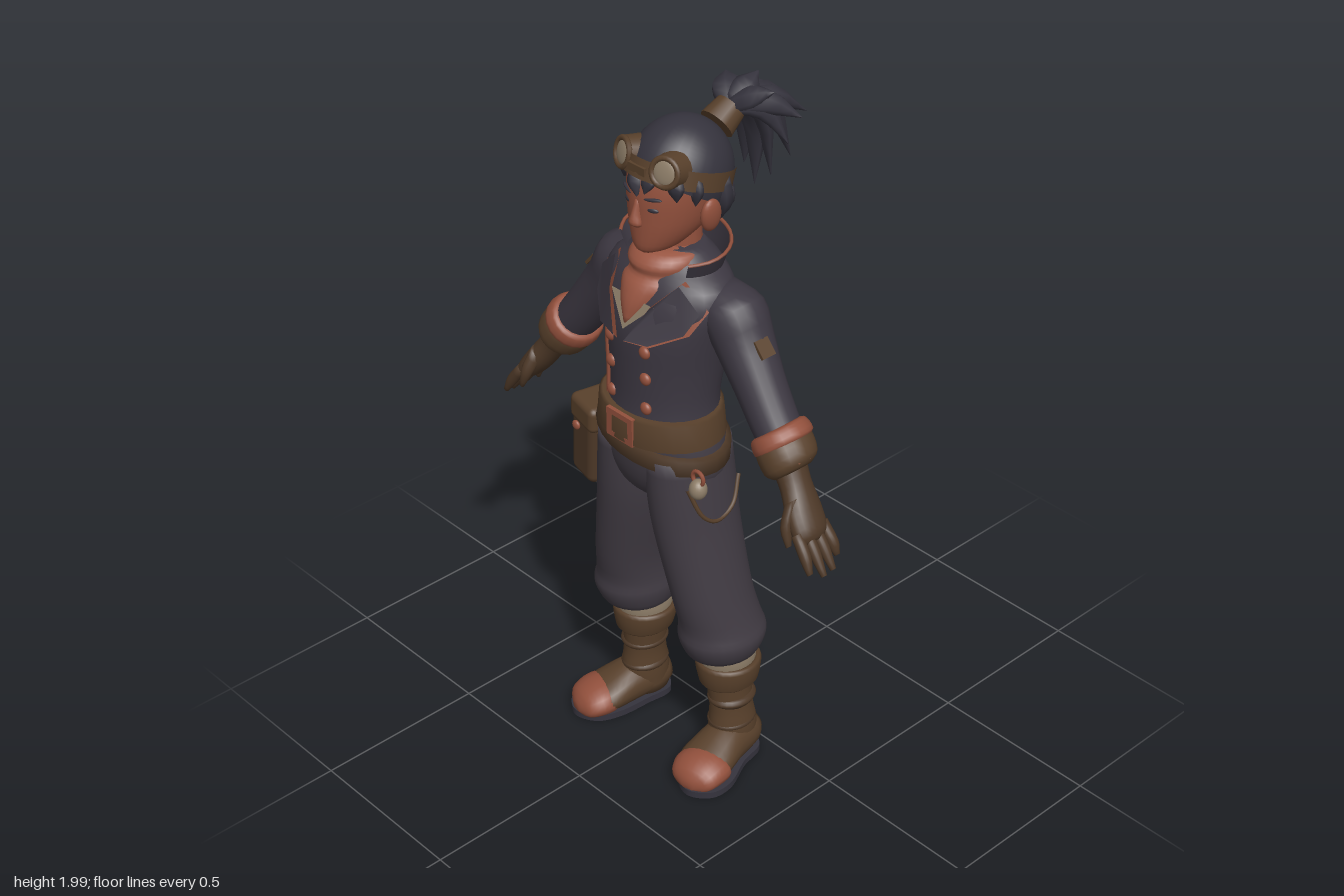
import * as THREE from 'three';
import { RoundedBoxGeometry } from 'three/addons/geometries/RoundedBoxGeometry.js';

const mat = (name, color, side = THREE.FrontSide) => {
  const m = new THREE.MeshStandardMaterial({ color, side });
  m.name = name;
  return m;
};
const V = (x, y, z) => new THREE.Vector3(x, y, z);

// Smooth closed body through elliptical rings; rows are [x, y, z, radiusU, radiusV]
function loft(rows, { u, v, n = 20, steps = 3, minY = -9 } = {}) {
  const centre = new THREE.CatmullRomCurve3(rows.map(r => V(r[0], r[1], r[2])), false, 'catmullrom');
  const radii = new THREE.CatmullRomCurve3(rows.map(r => V(r[3], r[4], 0)), false, 'catmullrom');
  const d = centre.points.at(-1).clone().sub(centre.points[0]).normalize();
  u = u ? u.clone().normalize() : V(0, 0, 0).crossVectors(d, Math.abs(d.y) > 0.9 ? V(0, 0, 1) : V(0, 1, 0)).normalize();
  v = v ? v.clone().normalize() : V(0, 0, 0).crossVectors(d, u);
  if (V(0, 0, 0).crossVectors(u, v).dot(d) < 0) v.negate();
  const m = (rows.length - 1) * steps, pos = [], idx = [];
  const put = p => pos.push(p.x, Math.max(p.y, minY), p.z);
  for (let i = 0; i <= m; i++) {
    const c = centre.getPoint(i / m), r = radii.getPoint(i / m);
    for (let j = 0; j < n; j++) {
      const a = j / n * Math.PI * 2;
      put(c.clone().addScaledVector(u, Math.cos(a) * r.x).addScaledVector(v, Math.sin(a) * r.y));
    }
  }
  for (let i = 0; i < m; i++) for (let j = 0; j < n; j++) {
    const a = i * n + j, b = i * n + (j + 1) % n;
    idx.push(a, b, a + n, b, b + n, a + n);
  }
  put(centre.getPoint(0)); put(centre.getPoint(1));
  const end = (m + 1) * n;
  for (let j = 0; j < n; j++) {
    const k = (j + 1) % n;
    idx.push(end, k, j, end + 1, m * n + j, m * n + k);
  }
  return surface(pos, idx);
}
function surface(pos, idx) {
  const g = new THREE.BufferGeometry();
  g.setAttribute('position', new THREE.Float32BufferAttribute(pos, 3));
  g.setIndex(idx);
  g.computeVertexNormals();
  return g;
}
// Open sheet from a function of (s, t)
function sheet(fn, a, b) {
  const pos = [], idx = [];
  for (let i = 0; i <= a; i++) for (let j = 0; j <= b; j++) pos.push(...fn(i / a, j / b).toArray());
  for (let i = 0; i < a; i++) for (let j = 0; j < b; j++) {
    const k = i * (b + 1) + j;
    idx.push(k, k + 1, k + b + 1, k + 1, k + b + 2, k + b + 1);
  }
  return surface(pos, idx);
}
// Upright loft, rows [y, x, z, rx, rz]
const upright = (rows, s = 1, o = {}) =>
  loft(rows.map(([y, x, z, a, b]) => [x * s, y, z, a, b]), { u: V(1, 0, 0), v: V(0, 0, 1), n: 28, ...o });
const tube = (pts, r) => new THREE.TubeGeometry(new THREE.CatmullRomCurve3(pts), 24, r, 6);

const TORSO = [[1.12, 0, .19, .17, .14], [1.2, 0, .185, .162, .135], [1.3, 0, .175, .172, .145], [1.4, 0, .17, .19, .15],
  [1.48, 0, .16, .205, .14], [1.54, 0, .15, .19, .12], [1.58, 0, .14, .13, .1], [1.62, 0, .14, .08, .07]];
// Depth of the jacket front at (x, y)
function frontZ(x, y) {
  const i = Math.max(0, Math.min(TORSO.length - 2, TORSO.findIndex(r => r[0] > y) - 1));
  const a = TORSO[i], b = TORSO[i + 1], t = (y - a[0]) / (b[0] - a[0]);
  const f = k => a[k] + (b[k] - a[k]) * t;
  return f(2) + f(4) * Math.sqrt(Math.max(0.04, 1 - (x / f(3)) ** 2));
}

export function createModel() {
  const jacket = mat('jacket cloth', 0x3c3741), trousers = mat('trouser cloth', 0x413b43), hair = mat('dark hair', 0x35333d);
  const skin = mat('skin', 0x93513d), scarf = mat('scarf cloth', 0x985541, THREE.DoubleSide), trim = mat('copper trim', 0x92503c);
  const leather = mat('leather', 0x58402b), glove = mat('dark leather', 0x4d3827), cream = mat('cream wool', 0x8d7d68);
  const collarCloth = mat('collar cloth', 0x3c3741, THREE.DoubleSide);
  const model = new THREE.Group(), body = new THREE.Group();
  body.name = 'body';
  body.position.x = 0.028;
  model.add(body);
  const add = (name, geo, m, p = [0, 0, 0], r = [0, 0, 0], sc = [1, 1, 1]) => {
    const mesh = new THREE.Mesh(geo, m);
    mesh.name = name;
    mesh.position.set(...p); mesh.rotation.set(...r); mesh.scale.set(...sc);
    body.add(mesh);
    return mesh;
  };
  const ball = new THREE.SphereGeometry(1, 20, 14);

  // Torso, hips and belts
  add('jacket', upright(TORSO), jacket);
  add('hips', upright([[.88, 0, .18, .05, .08], [.925, 0, .18, .15, .12], [1, 0, .185, .197, .138], [1.12, 0, .19, .18, .14]]), trousers);
  add('belt', upright([[1.085, 0, .195, .185, .145], [1.09, 0, .195, .193, .153], [1.165, 0, .195, .183, .15], [1.17, 0, .195, .175, .14]], 1, { steps: 1 }), leather);
  add('looseBelt', upright([[-.03, 0, 0, .19, .135], [-.025, 0, 0, .21, .153], [.02, 0, 0, .206, .151], [.025, 0, 0, .19, .135]], 1, { steps: 1 }), glove, [0, 1.065, .188], [0, 0, -.13]);
  const frame = new THREE.Shape([[-.05, -.042], [.05, -.042], [.05, .042], [-.05, .042]].map(p => new THREE.Vector2(...p)));
  frame.holes.push(new THREE.Path([[-.032, -.026], [-.032, .026], [.032, .026], [.032, -.026]].map(p => new THREE.Vector2(...p))));
  add('buckle', new THREE.ExtrudeGeometry(frame, { depth: .012, bevelEnabled: false }), trim, [0, 1.128, .334]);
  add('pouch', new RoundedBoxGeometry(.115, .25, .11, 3, .025), glove, [-.222, .945, .23], [0, -.2, -.06]);
  add('pouchFlap', new RoundedBoxGeometry(.122, .08, .117, 3, .02), leather, [-.216, 1.035, .232], [0, -.2, -.06]);
  add('pouchClasp', ball, trim, [-.235, 1.0, .296], [0, 0, 0], [.014, .014, .008]);
  add('charm', ball, cream, [.205, .99, .255], [0, 0, 0], [.025, .03, .025]);
  add('charmLoop', new THREE.TorusGeometry(.02, .006, 6, 16), trim, [.205, 1.025, .255]);
  add('pocketSeam', tube([V(.178, .98, .268), V(.204, .89, .235), V(.209, .86, .19), V(.205, .88, .13), V(.182, .95, .085)], .006), leather);
  add('backStrap', new THREE.BoxGeometry(.045, .29, .009), leather, [0, 1.385, .0225], [0, 0, .5]);

  // Jacket front: shirt, lapels, edge and buttons
  const plate = (pts, lift) => {
    const g = new THREE.ShapeGeometry(new THREE.Shape(pts.map(p => new THREE.Vector2(...p))));
    const q = g.attributes.position;
    for (let i = 0; i < q.count; i++) q.setZ(i, frontZ(q.getX(i), q.getY(i)) + lift);
    g.computeVertexNormals();
    return g;
  };
  add('shirt', plate([[-.08, 1.5], [0, 1.42], [.08, 1.5]], .012), cream);
  add('jacketEdge', tube([1.18, 1.25, 1.33, 1.41].map(y => V(-.09, y, frontZ(-.09, y))), .007), trim);
  for (const s of [-1, 1]) {
    const lapel = [[.02, 1.4], [.09, 1.405], [.165, 1.445], [.185, 1.5], [.12, 1.56], [.075, 1.5]];
    const grown = lapel.map(([x, y]) => [s * (.1 + (x - .1) * 1.1), 1.48 + (y - 1.48) * 1.1]);
    add('lapelTrim', plate(s > 0 ? grown : grown.reverse(), .016), trim);
    const flat = lapel.map(([x, y]) => [s * x, y]);
    add('lapel', plate(s > 0 ? flat : flat.reverse(), .023), jacket);
    for (const y of [1.2, 1.29, 1.37]) add('button', ball, trim, [s * .065, y, frontZ(.065, y)], [0, 0, 0], [.018, .018, .012]);
  }

  // Standing collar with trimmed edge
  const collarPoint = (s, t) => {
    const f = (s - .5) * 4.5, r = .12 + .045 * t;
    return V(r * Math.sin(f), 1.52 + t * (.125 - .02 * (1 - Math.cos(f))), .14 - (.1 + .02 * t) * Math.cos(f));
  };
  add('collar', sheet(collarPoint, 32, 4), collarCloth);
  add('collarTrim', tube(Array.from({ length: 13 }, (_, i) => collarPoint(i / 12, 1)), .005), trim);

  // Scarf wrap and flying tail
  add('scarfWrap', upright([[1.435, 0, .29, .015, .03], [1.49, 0, .21, .07, .105], [1.535, 0, .175, .1, .12], [1.56, 0, .165, .095, .105],
    [1.585, 0, .165, .1, .108], [1.61, 0, .16, .09, .09], [1.62, 0, .16, .06, .06]]), scarf);
  const edges = [
    [[-.02, 1.53, .03], [-.17, 1.45, .02], [-.28, 1.38, -.01], [-.38, 1.3, -.06], [-.49, 1.24, -.11], [-.58, 1.15, -.125], [-.6, 1.03, -.125]],
    [[-.07, 1.54, .01], [-.17, 1.42, -.05], [-.28, 1.33, -.12], [-.39, 1.28, -.185], [-.52, 1.25, -.23], [-.63, 1.17, -.24], [-.655, 1.04, -.23]],
    [[-.04, 1.5, 0], [-.12, 1.35, -.09], [-.22, 1.27, -.2], [-.32, 1.235, -.28], [-.42, 1.225, -.335], [-.52, 1.16, -.345], [-.56, 1.04, -.335]],
  ].map(e => new THREE.CatmullRomCurve3(e.map(p => V(...p)), false, 'catmullrom'));
  const tail = sheet((s, t) => {
    const [a, b, c] = edges.map(e => e.getPoint(s));
    const p = a.multiplyScalar((1 - t) * (1 - 2 * t)).addScaledVector(b, 4 * t * (1 - t)).addScaledVector(c, t * (2 * t - 1));
    if (s === 1) p.y -= Math.round(t * 16) % 2 ? .035 : 0; // fringe
    return p;
  }, 30, 16);
  model.add(add('scarfTail', tail, scarf));

  // Head and face
  add('neck', new THREE.CylinderGeometry(.06, .065, .14, 16), skin, [0, 1.61, .13]);
  add('face', upright([[1.618, 0, .215, .025, .04], [1.635, 0, .195, .055, .075], [1.68, 0, .165, .087, .108], [1.73, 0, .15, .105, .123],
    [1.79, 0, .143, .114, .128], [1.85, 0, .135, .112, .12], [1.9, 0, .13, .08, .09]]), skin);
  add('nose', loft([[0, 1.775, .262, .01, .01], [0, 1.735, .271, .013, .017], [0, 1.71, .276, .02, .018], [0, 1.698, .27, .01, .01]], { n: 12 }), skin);
  for (const s of [-1, 1]) {
    add('eye', ball, hair, [s * .045, 1.755, .258], [0, s * .35, 0], [.017, .007, .006]);
    add('eyebrow', ball, hair, [s * .047, 1.785, .259], [0, s * .35, s * .12], [.026, .005, .006]);
    add('ear', ball, skin, [s * .12, 1.725, .13], [.2, 0, s * -.15], [.018, .05, .033]);
    // Goggle cups and lenses
    const a = s * .3, at = k => [s * .07 + Math.sin(a) * k, 1.862 + .25 * k, .222 + Math.cos(a) * k];
    add('goggleCup', new THREE.CylinderGeometry(.043, .05, .05, 20), leather, at(0), [Math.PI / 2 - .25, 0, -a]);
    add('goggleRim', new THREE.TorusGeometry(.037, .008, 8, 24), leather, at(.025), [-.25, a, 0]);
    add('goggleLens', ball, cream, at(.024), [-.25, a, 0], [.033, .033, .008]);
  }
  add('goggleBridge', new THREE.BoxGeometry(.06, .022, .02), leather, [0, 1.858, .262]);
  add('goggleStrap', new THREE.CylinderGeometry(1, 1, .052, 32, 1, true), leather, [0, 1.818, .125], [-.3, 0, 0], [.134, 1, .15]);

  // Hair cap, fringe and ponytail
  add('hairCap', new THREE.SphereGeometry(1, 32, 20, 0, Math.PI * 2, 0, 1.85), hair, [0, 1.805, .122], [-.52, 0, 0], [.13, .146, .142]);
  const spike = (name, a, tip, r, lift = 0) => {
    const m = V(...a).lerp(V(...tip), .5);
    add(name, loft([[...a, r * .6, r * .5], [m.x, m.y + lift, m.z - lift * .5, r, r * .6], [...tip, .001, .001]], { n: 7 }), hair);
  };
  spike('fringe', [-.02, 1.85, .25], [.005, 1.785, .275], .025);
  spike('fringe', [.03, 1.85, .25], [.03, 1.8, .272], .022);
  for (const s of [-1, 1]) {
    spike('fringe', [s * .085, 1.85, .22], [s * .098, 1.785, .225], .028);
    spike('sideHair', [s * .11, 1.84, .17], [s * .116, 1.765, .178], .025);
    spike('sideHair', [s * .1, 1.82, .08], [s * .088, 1.675, .072], .045);
    spike('napeHair', [s * .05, 1.77, .02], [s * .045, 1.665, .05], .05);
  }
  const tie = [0, 1.925, -.05];
  add('hairTie', new THREE.CylinderGeometry(.042, .05, .06, 16), leather, [0, 1.905, -.028], [-1.0, 0, 0]);
  const tips = [[.14, 1.9, -.17], [.075, 1.87, -.25], [.06, 1.75, -.21], [.05, 1.71, -.15], [.09, 1.97, -.12], [.12, 1.83, -.14]];
  for (const [x, y, z] of tips) for (const s of [-1, 1]) spike('ponytail', tie, [s * x, y, z], .046, .25 * (1.99 - y));
  for (const [y, z] of [[1.84, -.28], [1.77, -.24], [1.67, -.14], [1.99, -.15]]) spike('ponytail', tie, [0, y, z], .048, .25 * (1.99 - y));

  for (const s of [-1, 1]) {
    // Arm, cuff and glove
    const limb = rows => loft(rows.map(([x, ...r]) => [x * s, ...r]), { u: V(s * .76, .65, 0), v: V(0, 0, 1) });
    add('sleeve', limb([[.12, 1.52, .125, .05, .06], [.2, 1.475, .125, .083, .086], [.25, 1.4, .128, .077, .08], [.31, 1.32, .138, .068, .07],
      [.37, 1.24, .145, .063, .066], [.42, 1.18, .15, .06, .062]]), jacket);
    add('sleeveCuff', limb([[.385, 1.222, .147, .062, .065], [.39, 1.215, .147, .076, .08], [.412, 1.19, .148, .081, .084], [.42, 1.18, .15, .06, .06]]), trim);
    add('gauntlet', limb([[.404, 1.197, .15, .06, .065], [.412, 1.188, .15, .076, .08], [.445, 1.148, .155, .074, .077], [.458, 1.13, .16, .05, .055]]), leather);
    add('gauntletBuckle', new THREE.BoxGeometry(.009, .03, .045), trim, [s * .487, 1.19, .16], [0, 0, s * .71]);
    add('hand', limb([[.44, 1.15, .158, .045, .05], [.475, 1.1, .167, .038, .046], [.515, 1.045, .178, .036, .056], [.55, 1, .185, .03, .054], [.565, .98, .187, .015, .035]]), glove);
    for (let i = 0; i < 4; i++) {
      const z = .14 + i * .03, far = [.595, .617, .62, .605][i], low = [.925, .908, .906, .92][i];
      add('finger', limb([[.545, 1.01, z, .015, .016], [.582, .96, z - .004 + i * .003, .016, .016], [far, low, z - .008 + i * .006, .008, .008]]), glove);
    }
    add('thumb', limb([[.5, 1.08, .205, .02, .02], [.512, 1.025, .235, .018, .018], [.53, .97, .243, .008, .008]]), glove);
    add('armPatch', new THREE.BoxGeometry(.009, .05, .045), leather, [s * .323, 1.425, .135], [0, 0, s * .72]);

    // Trouser leg and sock
    add('trouserLeg', upright([[.382, .17, .135, .07, .075], [.395, .173, .135, .098, .108], [.45, .175, .137, .116, .13], [.5, .17, .142, .107, .122],
      [.6, .155, .16, .099, .122], [.8, .115, .175, .104, .13], [.92, .1, .18, .103, .135], [1.05, .09, .185, .095, .135]], s), trousers);
    add('sock', upright([[.32, .172, .115, .07, .075], [.35, .172, .115, .078, .085], [.4, .172, .12, .075, .08]], s), cream);

    // Boot
    add('bootShaft', upright([[.03, .185, .1, .058, .072], [.11, .185, .105, .062, .075], [.18, .182, .108, .056, .066], [.26, .176, .11, .06, .07], [.32, .173, .112, .065, .075]], s), leather);
    add('bootCuff', upright([[.268, .175, .112, .068, .078], [.275, .175, .112, .08, .088], [.335, .173, .112, .092, .096], [.347, .173, .112, .082, .086], [.34, .173, .112, .07, .072]], s, { steps: 2 }), leather);
    for (const y of [.13, .21]) add('bootStrap', upright([[y - .016, .183, .107, .055, .063], [y, .183, .107, .064, .074], [y + .016, .183, .107, .055, .063]], s), glove);
    const foot = rows => loft(rows.map(([x, ...r]) => [x * s, ...r]), { u: V(.97, 0, -.25 * s), v: V(0, 1, 0), minY: .012 });
    add('bootFoot', foot([[.178, .06, .028, .04, .04], [.185, .065, .07, .062, .06], [.198, .065, .15, .068, .065], [.212, .055, .225, .078, .05], [.22, .05, .26, .076, .04]]), leather);
    add('toeCap', foot([[.217, .045, .228, .07, .04], [.219, .047, .236, .08, .05], [.225, .046, .275, .08, .047], [.234, .038, .312, .062, .036], [.238, .032, .33, .02, .015]]), trim);
    const outline = [[.18, .018], [.24, .05], [.262, .13], [.302, .22], [.298, .29], [.242, .333], [.175, .308], [.142, .24], [.132, .14], [.128, .06]];
    const sole = new THREE.Shape();
    sole.moveTo(outline[0][0] * s, -outline[0][1]);
    sole.splineThru([...outline.slice(1), outline[0]].map(([x, z]) => new THREE.Vector2(x * s, -z)));
    add('sole', new THREE.ExtrudeGeometry(sole, { depth: .02, bevelEnabled: false, curveSegments: 30 }).rotateX(-Math.PI / 2), hair);
  }
  return model;
}
